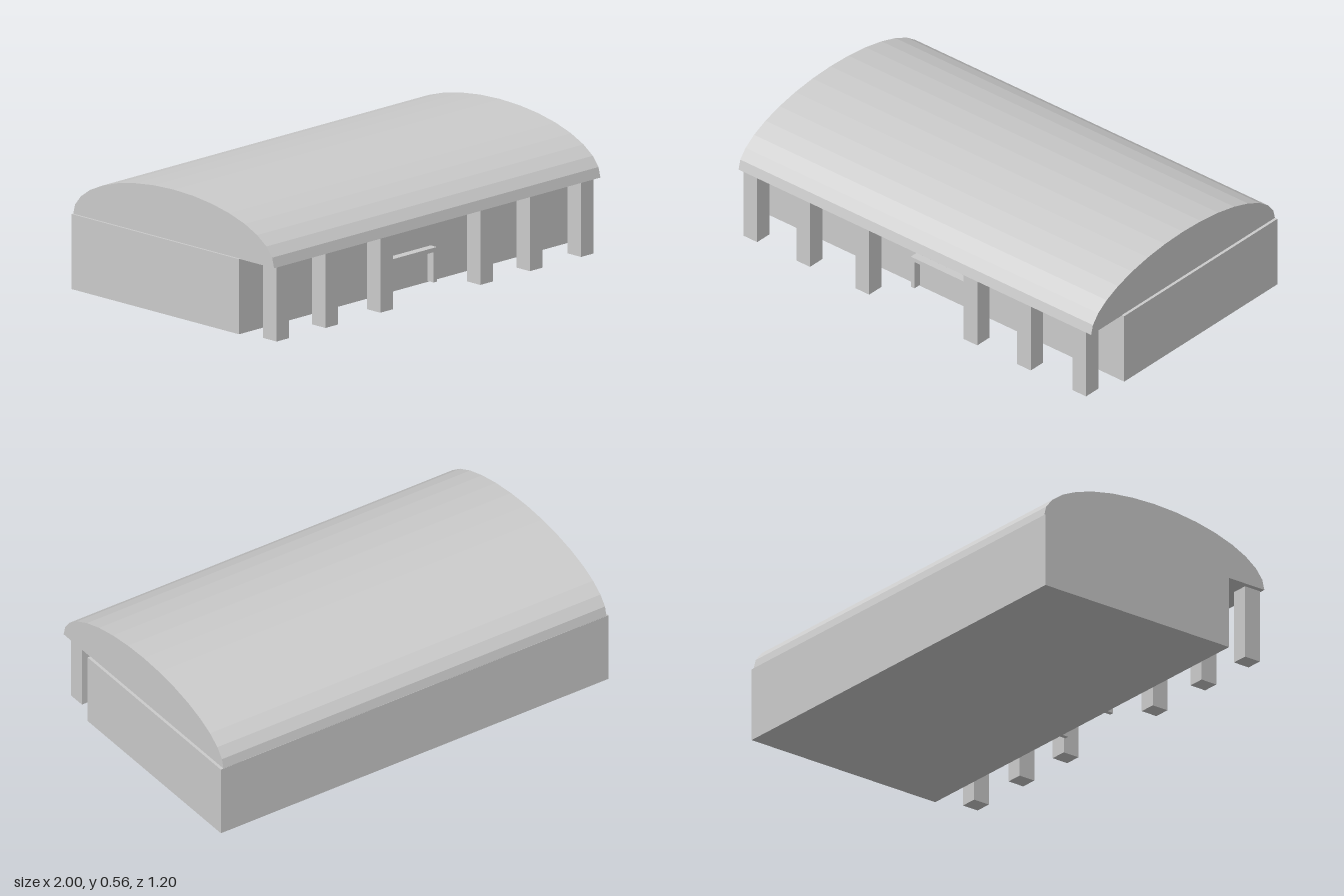
import * as THREE from 'three';

const material = new THREE.MeshStandardMaterial({ color: 0xcccccc, flatShading: true });

function add(parent, name, geometry, x, y, z) {
  const mesh = new THREE.Mesh(geometry, material);
  mesh.name = name;
  mesh.position.set(x, y, z);
  parent.add(mesh);
  return mesh;
}

export function createModel() {
  const group = new THREE.Group();
  group.name = 'hall';
  const eaves = 0.332;

  // Main hall block, set back to leave a porch at the front
  add(group, 'walls', new THREE.BoxGeometry(2, eaves, 1), 0, eaves / 2, -0.1);

  // Barrel roof: half ellipse in 16 facets, extruded along x
  const profile = new THREE.Shape();
  const facets = 16;
  for (let i = 0; i <= facets; i++) {
    const a = (i / facets) * Math.PI;
    const px = 0.6 * Math.cos(a), py = 0.228 * Math.sin(a);
    if (i === 0) profile.moveTo(px, py);
    else profile.lineTo(px, py);
  }
  profile.closePath();
  const roofLength = 1.977;
  const roofGeometry = new THREE.ExtrudeGeometry(profile, { depth: roofLength, bevelEnabled: false });
  roofGeometry.translate(0, 0, -roofLength / 2);
  roofGeometry.rotateY(Math.PI / 2);
  add(group, 'roof', roofGeometry, -0.002, 0.33, 0);

  // Square porch columns
  const columns = new THREE.Group();
  columns.name = 'porchColumns';
  group.add(columns);
  for (const x of [-0.93, -0.634, -0.302, 0.304, 0.604, 0.914]) {
    add(columns, 'column', new THREE.BoxGeometry(0.076, 0.33, 0.08), x, 0.165, 0.553);
  }

  // Door surround: two jambs and a lintel, open at the bottom
  const frame = new THREE.Shape();
  [[-0.163, 0], [-0.143, 0], [-0.143, 0.134], [0.143, 0.134],
    [0.143, 0], [0.163, 0], [0.163, 0.153], [-0.163, 0.153]]
    .forEach(([x, y], i) => (i ? frame.lineTo(x, y) : frame.moveTo(x, y)));
  frame.closePath();
  const frameGeometry = new THREE.ExtrudeGeometry(frame, { depth: 0.038, bevelEnabled: false });
  add(group, 'doorFrame', frameGeometry, -0.002, 0.005, 0.399);

  return group;
}
